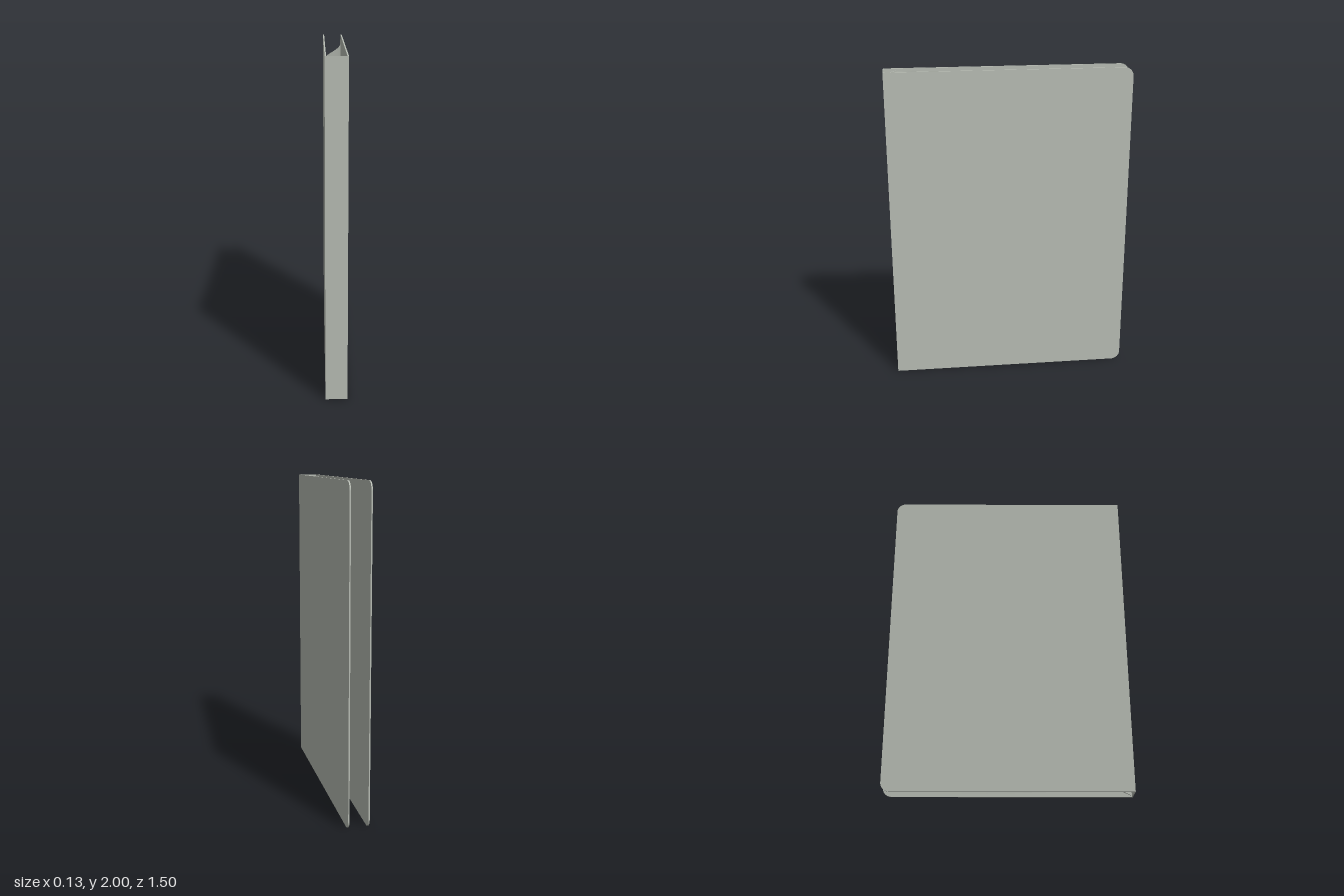
import * as THREE from 'three';

export function createModel() {
  const model = new THREE.Group();
  model.name = 'folder';
  const card = new THREE.MeshStandardMaterial({ color: 0xb9beb5, side: THREE.DoubleSide });
  card.name = 'grey green card';

  const H = 2, HALF_W = 0.0645, HALF_D = 0.75, T = 0.008, R = 0.055;

  function add(name, geometry, x = 0, y = 0, z = 0) {
    const mesh = new THREE.Mesh(geometry, card);
    mesh.name = name;
    mesh.position.set(x, y, z);
    model.add(mesh);
    return mesh;
  }

  // Covers: thin boards with two rounded corners on the opening edge
  const outline = new THREE.Shape();
  outline.moveTo(-HALF_D, 0);
  outline.lineTo(HALF_D - R, 0);
  outline.absarc(HALF_D - R, R, R, -Math.PI / 2, 0, false);
  outline.lineTo(HALF_D, H - R);
  outline.absarc(HALF_D - R, H - R, R, 0, Math.PI / 2, false);
  outline.lineTo(-HALF_D, H);
  outline.closePath();
  const cover = new THREE.ExtrudeGeometry(outline, { depth: T, bevelEnabled: false, curveSegments: 10 });
  cover.rotateY(Math.PI / 2);
  add('rightCover', cover, HALF_W - T);
  add('leftCover', cover, -HALF_W);

  // Spine joining the covers
  add('spine', new THREE.BoxGeometry(2 * (HALF_W - T), H, 0.006), 0, H / 2, HALF_D - 0.003);

  // Slanted binding strips inside the spine, given as top-down end points
  function strip(name, x0, z0, x1, z1, thickness, height) {
    const length = Math.hypot(x1 - x0, z1 - z0);
    const mesh = add(name, new THREE.BoxGeometry(length, height, thickness),
      (x0 + x1) / 2, H / 2, (z0 + z1) / 2);
    mesh.rotation.y = -Math.atan2(z1 - z0, x1 - x0);
  }
  strip('bindingFlap', -0.048, 0.67, 0.053, 0.736, 0.004, 1.98);
  strip('bindingBar', -0.026, 0.668, 0.052, 0.718, 0.012, 1.96);

  // Inner sheet: bends out of the binding and curves across to the other cover
  const path = new THREE.CatmullRomCurve3([
    [-0.048, 0.67], [-0.054, 0.645], [-0.054, 0.6], [-0.034, 0.46], [0.003, 0.24],
    [0.03, 0.02], [0.044, -0.2], [0.048, -0.4], [0.05, -0.61],
  ].map(([x, z]) => new THREE.Vector3(x, 0, z)));
  const SEG = 48;
  const sheet = new THREE.PlaneGeometry(1, 1, SEG, 1);
  const points = path.getSpacedPoints(SEG);
  const pos = sheet.attributes.position;
  for (let i = 0; i < pos.count; i++) {
    const p = points[i % (SEG + 1)];
    pos.setXYZ(i, p.x, i <= SEG ? 1.985 : 0.015, p.z);
  }
  sheet.computeVertexNormals();
  add('innerSheet', sheet);

  return model;
}
